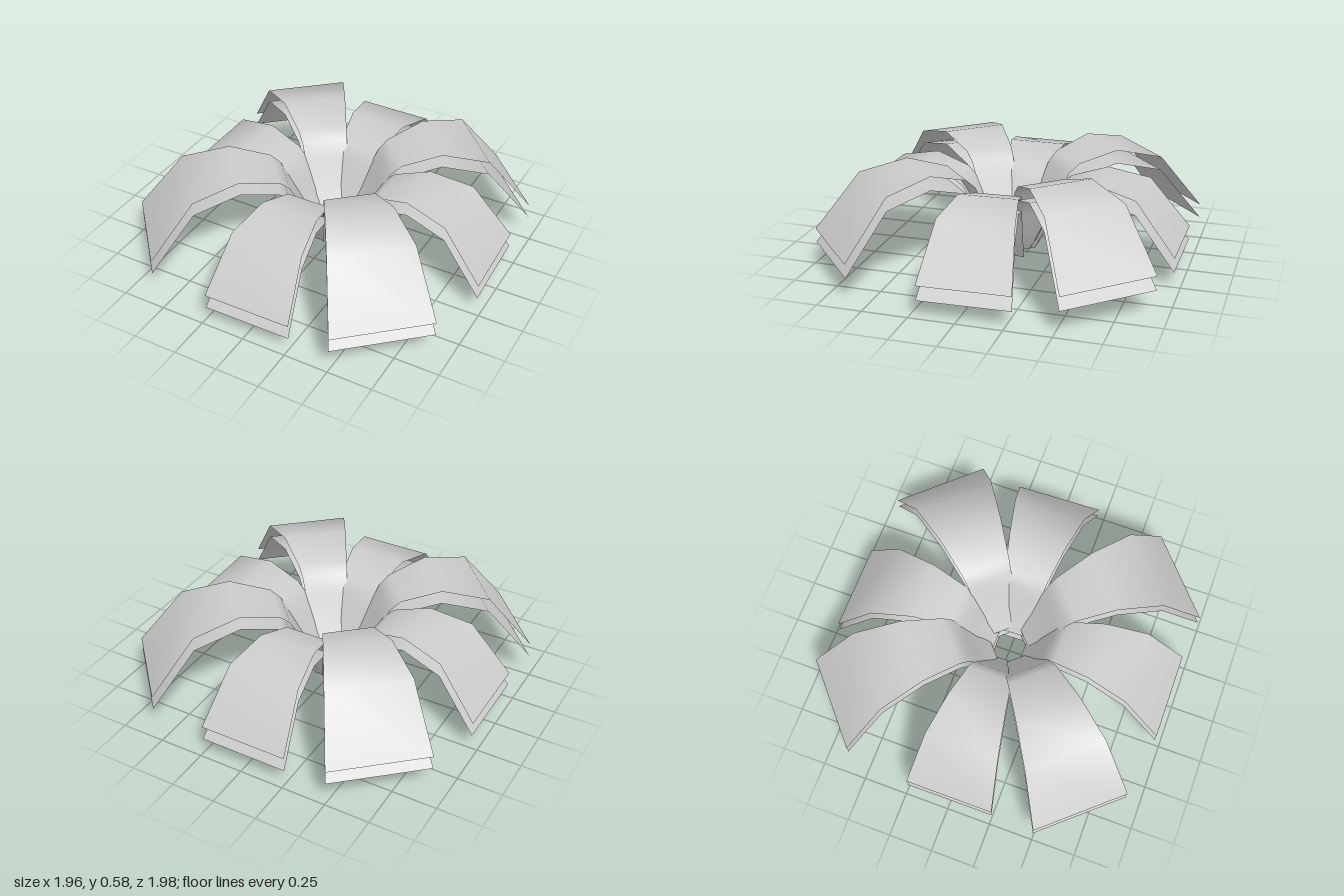
import * as THREE from 'three';

// Midrib of one leaf: [distance from centre, height], from the base out to the tip
const PROFILE = [
  [0.085, 0.08], [0.15, 0.185], [0.21, 0.305], [0.256, 0.395],
  [0.306, 0.442], [0.505, 0.5], [0.74, 0.446], [0.965, 0.166],
];
const halfWidth = (r) => 0.069 + 0.1875 * r;

// Arched strip that widens toward its tip
function leafGeometry() {
  const positions = [];
  const index = [];
  PROFILE.forEach(([r, y], i) => {
    const w = halfWidth(r);
    positions.push(r, y, -w, r, y, w);
    if (i > 0) {
      const a = 2 * (i - 1);
      index.push(a, a + 1, a + 2, a + 1, a + 3, a + 2);
    }
  });
  const geometry = new THREE.BufferGeometry();
  geometry.setAttribute('position', new THREE.Float32BufferAttribute(positions, 3));
  geometry.setIndex(index);
  geometry.computeVertexNormals();
  return geometry;
}

export function createModel() {
  const plant = new THREE.Group();
  plant.name = 'plant';
  const material = new THREE.MeshStandardMaterial({ color: 0xcccccc, side: THREE.DoubleSide });
  const geometry = leafGeometry();

  // Headings in degrees, measured from +x toward +z
  const innerRing = [-2, 89.7, 180, 270.3];
  const outerRing = [48.6, 138.6, 228.8, 317.1];

  // Each leaf is a pair of blades, one hanging just below the other
  function addLeaf(name, heading, scale, lift, drop) {
    const leaf = new THREE.Group();
    leaf.name = name;
    leaf.rotation.y = -THREE.MathUtils.degToRad(heading);
    [['upperBlade', lift], ['lowerBlade', lift - drop]].forEach(([bladeName, y]) => {
      const blade = new THREE.Mesh(geometry, material);
      blade.name = bladeName;
      blade.scale.setScalar(scale);
      blade.position.y = y;
      leaf.add(blade);
    });
    plant.add(leaf);
  }

  innerRing.forEach((h) => addLeaf('innerLeaf', h, 1, 0, 0.08));
  outerRing.forEach((h) => addLeaf('outerLeaf', h, 1.11, 0.022, 0.077));
  return plant;
}
